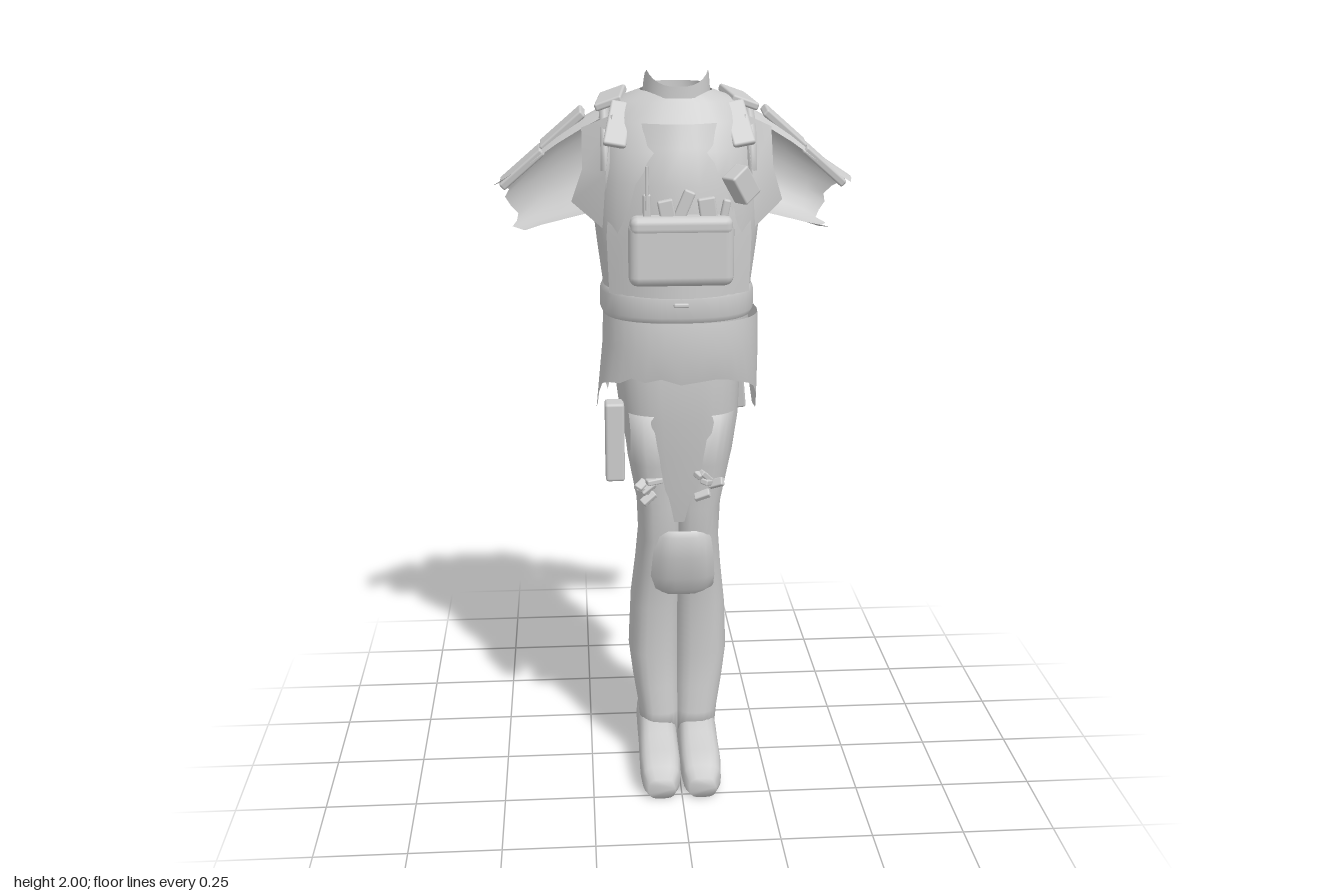
import * as THREE from 'three';
import { RoundedBoxGeometry } from 'three/addons/geometries/RoundedBoxGeometry.js';

const cloth = new THREE.MeshStandardMaterial({ color: 0xcccccc, side: THREE.DoubleSide });
cloth.name = 'light grey cloth';

let seed = 7;
const rand = () => (seed = (seed * 16807) % 2147483647) / 2147483647;

// Skin through rows of points; skip(i, j) leaves a hole, cap closes both ends.
function skin(rows, { closed = true, cap = false, skip = () => false } = {}) {
  const n = rows[0].length, pos = rows.flat(2), idx = [];
  for (let i = 0; i < rows.length - 1; i++) {
    for (let j = 0; j < (closed ? n : n - 1); j++) {
      if (skip(i, j)) continue;
      const a = i * n + j, b = i * n + (j + 1) % n;
      idx.push(a, a + n, b, b, a + n, b + n);
    }
  }
  if (cap) {
    const last = (rows.length - 1) * n;
    for (let j = 1; j < n - 1; j++) idx.push(0, j, j + 1, last, last + j + 1, last + j);
  }
  const g = new THREE.BufferGeometry();
  g.setAttribute('position', new THREE.Float32BufferAttribute(pos, 3));
  g.setIndex(idx);
  g.computeVertexNormals();
  return g;
}

// Rounded cross-section: height, x centre, half width, front z, back z.
function ring([y, cx, rx, zf, zb], n = 32, power = 0.85) {
  const soft = v => Math.sign(v) * Math.abs(v) ** power;
  return Array.from({ length: n }, (_, j) => {
    const a = j / n * Math.PI * 2;
    return [cx + rx * soft(Math.cos(a)), y, (zf + zb) / 2 + (zf - zb) / 2 * soft(Math.sin(a))];
  });
}

// Open sheet rows running left to right. Its front faces +z when x falls along the row.
const sheetRow = (count, point) => Array.from({ length: count }, (_, j) => point(1 - 2 * j / (count - 1)));

export function createModel() {
  const model = new THREE.Group();
  model.name = 'uniform';
  const add = (name, geometry, p = [0, 0, 0], r = [0, 0, 0]) => {
    const m = new THREE.Mesh(geometry, cloth);
    m.name = name;
    m.position.set(...p);
    m.rotation.set(...r);
    model.add(m);
    return m;
  };
  const box = (name, size, p, r, radius = 0.012) =>
    add(name, new RoundedBoxGeometry(...size, 2, Math.min(radius, Math.min(...size) / 2.2)), p, r);

  // Torso with open armholes
  const torso = [
    [1.34, 0, 0.195, 0.185, -0.155], [1.45, 0, 0.2, 0.195, -0.155], [1.55, 0, 0.213, 0.195, -0.15],
    [1.63, 0, 0.222, 0.195, -0.155], [1.72, 0, 0.215, 0.2, -0.17], [1.8, 0, 0.21, 0.18, -0.18],
    [1.87, 0, 0.205, 0.14, -0.175], [1.92, 0, 0.165, 0.115, -0.155], [1.945, 0, 0.095, 0.1, -0.115],
  ].map(r => ring(r));
  add('torso', skin(torso, {
    skip: (i, j) => i >= 3 && i <= 5 && (j < 2 || j > 27 || (j >= 14 && j < 20)),
  }));

  // Collar with a peak on each side
  const collar = [0, 1].map(k => ring([1.93, 0, 0.09 - k * 0.005, 0.112, -0.1]).map(([x, y, z]) =>
    [x, k ? 1.96 + 0.04 * Math.max(0, 1 - Math.abs(z - 0.05) / 0.06) : y, z]));
  add('collar', skin(collar));
  add('neckFill', skin([ring([1.92, 0, 0.088, 0.105, -0.1]), ring([1.94, 0, 0.06, 0.07, -0.065])], { cap: true }));

  // Vest plates
  const plate = (name, front) => add(name, skin(
    [[1.43, 0.185], [1.58, 0.19], [1.72, 0.18], [1.81, 0.17], [1.87, 0.155]].map(([y, w]) => sheetRow(9, u => {
      const bend = 0.09 * u * u;
      const lean = y > 1.72 ? (y - 1.72) * (front ? 0.36 : 0.12) : 0;
      return front ? [u * w, y, 0.218 - bend - lean] : [-u * w, y, -0.192 + bend + lean];
    })), { closed: false }));
  plate('chestPlate', true);
  plate('backPlate', false);

  // Waist band and belt
  add('waistBand', skin([[1.36, 0, 0.2, 0.195, -0.16], [1.375, 0, 0.207, 0.205, -0.168],
    [1.425, 0, 0.207, 0.207, -0.168], [1.44, 0, 0.2, 0.198, -0.16]].map(r => ring(r))));
  box('buckle', [0.04, 0.012, 0.01], [0, 1.41, 0.206]);

  // Shirt tail with a torn lower edge
  const tail = [[1.36, 0.01, 0.21, 0.2, -0.165], [1.28, 0.01, 0.212, 0.21, -0.17], [1.19, 0, 0.205, 0.195, -0.165]]
    .map((r, k) => ring(r).map(([x, y, z]) => {
      const side = Math.abs(x) / 0.21, tear = rand();
      if (k < 2) return [x, y, z];
      return [x * (1 + side * 0.08), 1.22 - side ** 4 * 0.05 - tear * (z < 0.06 ? 0.11 : 0.03), z];
    }));
  add('shirtTail', skin(tail));

  // Trousers, joined at the thighs in front
  add('hips', skin([[0.78, 0.005, 0.1, 0.125, -0.02], [0.88, 0.006, 0.122, 0.147, -0.04], [0.98, 0.006, 0.145, 0.162, -0.07],
    [1.08, 0.005, 0.162, 0.18, -0.13], [1.2, 0, 0.172, 0.19, -0.155], [1.34, 0, 0.18, 0.185, -0.15]]
    .map(r => ring(r, 32, 0.7))));
  const legProfile = [
    [0.11, 0.112, 0.09, -0.11], [0.17, 0.118, 0.09, -0.115], [0.25, 0.132, 0.08, -0.135], [0.35, 0.145, 0.078, -0.148],
    [0.5, 0.138, 0.085, -0.13], [0.62, 0.124, 0.105, -0.105], [0.72, 0.115, 0.13, -0.09], [0.82, 0.119, 0.14, -0.092],
    [0.95, 0.145, 0.155, -0.115], [1.1, 0.163, 0.175, -0.145],
  ];
  // Boot slices from heel to toe: z, half width, height
  const bootProfile = [[-0.11, 0.05, 0.14], [-0.1, 0.055, 0.155], [0.06, 0.056, 0.16], [0.12, 0.057, 0.128],
    [0.19, 0.058, 0.11], [0.245, 0.053, 0.088], [0.27, 0.038, 0.06]];
  for (const s of [1, -1]) {
    const side = s > 0 ? 'left' : 'right', k = s > 0 ? 1 : 0.93;
    add(side + 'Leg', skin(legProfile.map(([y, w, f, b]) =>
      ring([y, s * (w * k / 2 - 0.005), w * k / 2 + 0.007, f, b], 24, 0.75)), { cap: true }));
    add(side + 'Boot', skin(bootProfile.map(([z, w, h]) => ring([z, s * 0.058, w, 0, -h], 20, 0.65)), { cap: true }),
      [0, 0, 0], [Math.PI / 2, 0, 0]);

    // Sleeve: a shell open towards the front with a ragged cuff
    const sleeve = [0, 0.25, 0.5, 0.75, 1].map(t => Array.from({ length: 13 }, (_, j) => {
      const a = (-35 + j * 19) * Math.PI / 180 * s + (s < 0 ? 158 * Math.PI / 180 : 0);
      const c = (Math.cos(a) + 1) / 2, rag = t === 1 ? (rand() - 0.5) * 0.05 : 0;
      const bulge = Math.sin(t * Math.PI) * 0.015;
      const up = [0.16 + 0.31 * t, 1.915 - 0.215 * t + bulge], low = [0.2 + 0.22 * t, 1.62 - 0.06 * t];
      return [s * (low[0] + (up[0] - low[0]) * c + rag), low[1] + (up[1] - low[1]) * c,
        -0.06 - 0.04 * t - (0.1 - 0.04 * t) * Math.sin(a)];
    }));
    add(side + 'Sleeve', skin(sleeve, { closed: false }));
    const flap = [
      [[s * 0.17, 1.89, 0.1], [s * 0.19, 1.74, 0.13], [s * 0.2, 1.6, 0.12]],
      [[s * 0.25, 1.85, 0.03], [s * 0.25, 1.75, 0.085], [s * 0.28, 1.66, 0.05]],
    ];
    add(side + 'ArmholeFlap', skin(s > 0 ? flap : flap.reverse(), { closed: false }));
    const rim = add(side + 'ArmholeRim', new THREE.TorusGeometry(0.138, 0.018, 6, 20),
      [s * 0.19, 1.755, -0.02], [0, Math.PI / 2, 0]);
    rim.scale.set(0.95, 1.03, 0.8);

    // Shoulder armour strips
    for (const [x, y, len] of [[0.3, 1.835, 0.15], [0.41, 1.735, 0.15]])
      box(side + 'ShoulderStrip', [len, 0.022, 0.075], [s * x, y, -0.09], [0.15, 0, -s * 0.72], 0.006);

    // Vest shoulder straps
    box(side + 'StrapTop', [0.075, 0.02, 0.19], [s * 0.17, 1.92, -0.045], [0.08, s * 0.1, -s * 0.35], 0.006);
    box(side + 'StrapFront', [0.06, 0.13, 0.018], [s * 0.155, 1.865, 0.1], [-0.62, 0, s * 0.2], 0.006);
    box(side + 'StrapBack', [0.06, 0.12, 0.018], [s * 0.155, 1.865, -0.165], [0.3, 0, s * 0.2], 0.006);

    // Torn scraps on the thighs
    for (let i = 0; i < 9; i++) {
      const back = i > 4;
      box(side + 'ThighScrap', [0.045, 0.016, 0.024],
        [s * (0.05 + rand() * 0.055), 0.85 + rand() * 0.08, back ? -0.108 : 0.15],
        [rand(), rand(), (rand() - 0.5) * 1.6], 0.004);
    }
  }

  // Knee pad
  add('kneePad', skin([[0.55, 0.07, 0.095], [0.57, 0.088, 0.115], [0.61, 0.09, 0.13], [0.68, 0.085, 0.152],
    [0.74, 0.077, 0.15], [0.755, 0.07, 0.135]]
    .map(([y, w, z]) => sheetRow(9, u => [0.012 + u * w, y, z - 0.03 * u ** 4])), { closed: false }));

  // Front pouch and the gear above it
  box('frontPouch', [0.27, 0.17, 0.065], [-0.003, 1.555, 0.235], [0, 0, 0], 0.025);
  box('frontPouchFlap', [0.262, 0.05, 0.067], [-0.003, 1.625, 0.236], [0, 0, 0], 0.02);
  [[-0.09, 1.67, 0.02, 0.07, 0], [-0.04, 1.665, 0.04, 0.05, 0.2], [0.005, 1.675, 0.03, 0.08, -0.4],
    [0.065, 1.665, 0.045, 0.06, 0.15], [0.11, 1.665, 0.02, 0.05, -0.2]].forEach(([x, y, w, h, r]) =>
    box('chestGear', [w, h, 0.022], [x, y, 0.232], [0, 0, r], 0.005));
  add('antenna', new THREE.CylinderGeometry(0.004, 0.006, 0.11, 8), [-0.09, 1.72, 0.24]);
  box('sidePouch', [0.06, 0.085, 0.05], [0.155, 1.72, 0.185], [0, 0.6, 0.6], 0.006);

  // Back pouches
  box('backPouch', [0.23, 0.165, 0.1], [0, 1.58, -0.217], [0, 0, 0], 0.035);
  box('backPouchFlap', [0.232, 0.06, 0.1], [0, 1.635, -0.216], [0, 0, 0], 0.025);
  for (const x of [-0.075, 0, 0.075])
    box('magazinePouch', [0.068, 0.16, 0.06], [x, 1.765, -0.215], [0.05, 0, 0], 0.014);
  box('backBand', [0.24, 0.03, 0.04], [0, 1.855, -0.19], [0, 0, 0], 0.01);

  // Belt canisters at the back
  for (const x of [-0.03, 0.045])
    add('beltCanister', new THREE.CylinderGeometry(0.033, 0.033, 0.155, 12), [x, 1.32, -0.185], [0.12, 0, 0]);

  // Hip pouches
  box('rightHipPouch', [0.052, 0.22, 0.06], [-0.175, 1.02, 0.12], [0, 0, 0], 0.008);
  box('leftHipPouch', [0.03, 0.13, 0.07], [0.175, 1.14, -0.02], [0.15, 0, 0.1], 0.006);
  for (let i = 0; i < 5; i++)
    box('leftHipScrap', [0.012, 0.07, 0.03], [0.165, 1.08 + rand() * 0.1, -0.1 + rand() * 0.12], [rand() * 2, 0, 0.1], 0.004);

  return model;
}
